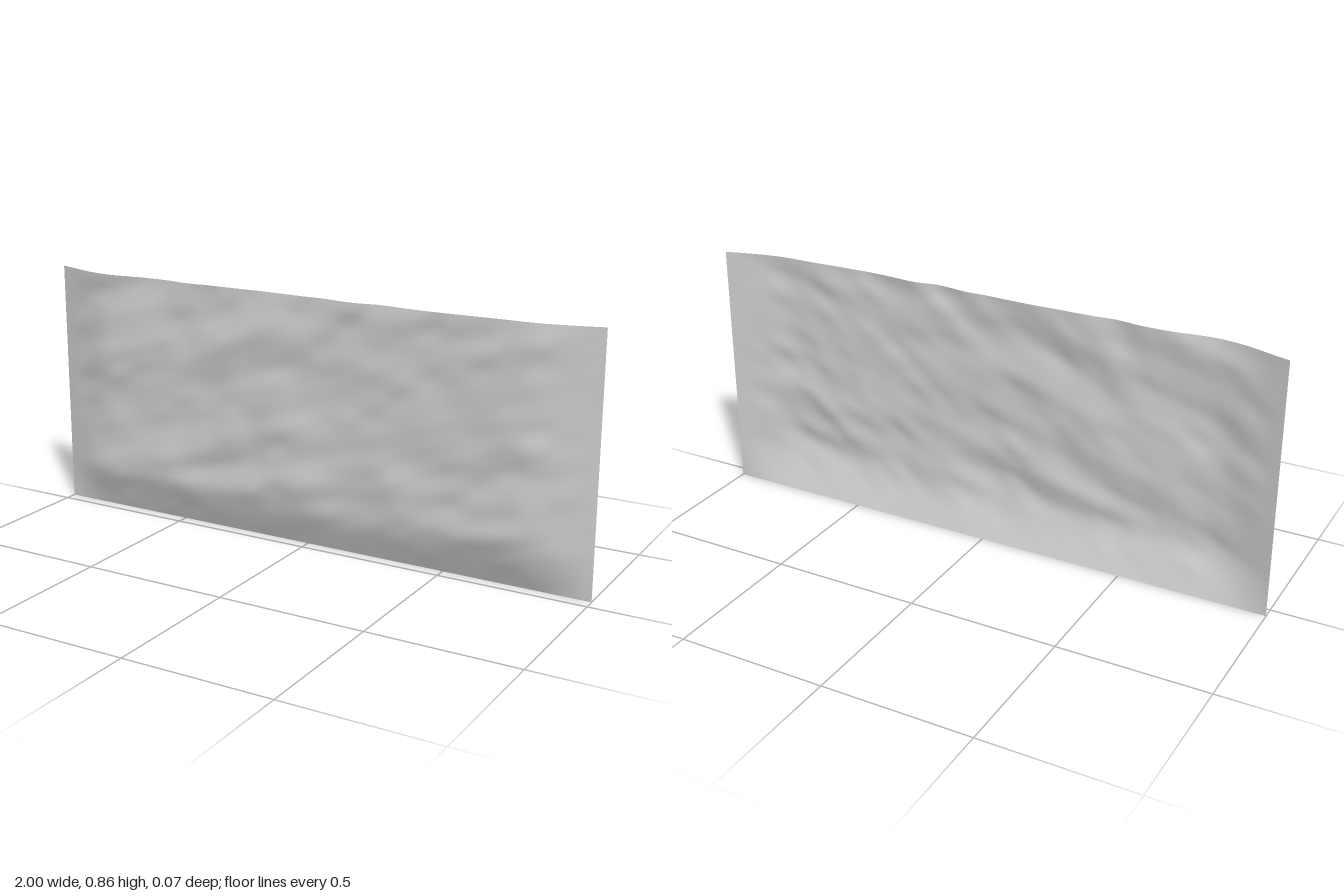
import * as THREE from 'three';

const W = 2, H = 0.857, BACK = -0.04;

// seeded lattice value in -1..1
function lattice(i, j) {
  let n = Math.imul(i + 101, 374761393) ^ Math.imul(j + 57, 668265263);
  n = Math.imul(n ^ (n >>> 13), 1274126177);
  return (((n ^ (n >>> 16)) >>> 0) / 4294967295) * 2 - 1;
}

// smooth value noise
function noise(x, y) {
  const i = Math.floor(x), j = Math.floor(y);
  const u = THREE.MathUtils.smoothstep(x - i, 0, 1), v = THREE.MathUtils.smoothstep(y - j, 0, 1);
  const a = THREE.MathUtils.lerp(lattice(i, j), lattice(i + 1, j), u);
  const b = THREE.MathUtils.lerp(lattice(i, j + 1), lattice(i + 1, j + 1), u);
  return THREE.MathUtils.lerp(a, b, v);
}

// larger swells of the rock: x, y, half width, half height, rise
const swells = [
  [-0.75, 0.56, 0.22, 0.06, 0.012], [-0.8, 0.84, 0.14, 0.05, 0.01],
  [-0.2, 0.71, 0.2, 0.05, 0.012], [-0.12, 0.5, 0.12, 0.1, 0.013],
  [0.2, 0.64, 0.2, 0.06, 0.01], [0.5, 0.85, 0.14, 0.05, 0.01],
  [0.32, 0.27, 0.1, 0.05, 0.012], [-0.1, 0.21, 0.3, 0.05, 0.011],
  [0.75, 0.19, 0.25, 0.06, 0.014], [-0.75, 0.2, 0.2, 0.06, 0.012],
  [0.7, 0.42, 0.15, 0.06, 0.01], [0.7, 0.66, 0.15, 0.06, 0.009],
];

// ramp from the flat rim to the rock face
const ramp = (d, width) => {
  const t = Math.min(d / width, 1);
  return t * (1.35 - 0.35 * t * t * t);
};

function depthAt(x, y) {
  const rim = Math.min(1, ramp(1 - Math.abs(x), 0.25)) * Math.min(1, ramp(y, 0.17));
  let z = 0.052;
  for (const [cx, cy, rx, ry, h] of swells) {
    const dx = (x - cx) / rx, dy = (y - cy - 0.2 * (x - cx)) / ry;
    z += h * Math.exp(-dx * dx - dy * dy);
  }
  const s = y - 0.25 * x; // layers slant up to the right
  z += 0.008 * noise(x * 5.5, s * 10) + 0.005 * noise(x * 11 + 40, s * 19 + 7);
  return BACK + Math.min(z, 0.079) * rim;
}

export function createModel() {
  const group = new THREE.Group();
  group.name = 'rockWall';

  // open rock sheet: straight rims at the sides and bottom, wavy at the top
  const geometry = new THREE.PlaneGeometry(W, H, 80, 40);
  geometry.translate(0, H / 2, 0);
  const p = geometry.attributes.position;
  for (let i = 0; i < p.count; i++) p.setZ(i, depthAt(p.getX(i), p.getY(i)));
  geometry.computeVertexNormals();

  const face = new THREE.Mesh(
    geometry,
    new THREE.MeshStandardMaterial({ color: 0xcccccc, side: THREE.DoubleSide }),
  );
  face.name = 'rockFace';
  group.add(face);
  return group;
}
